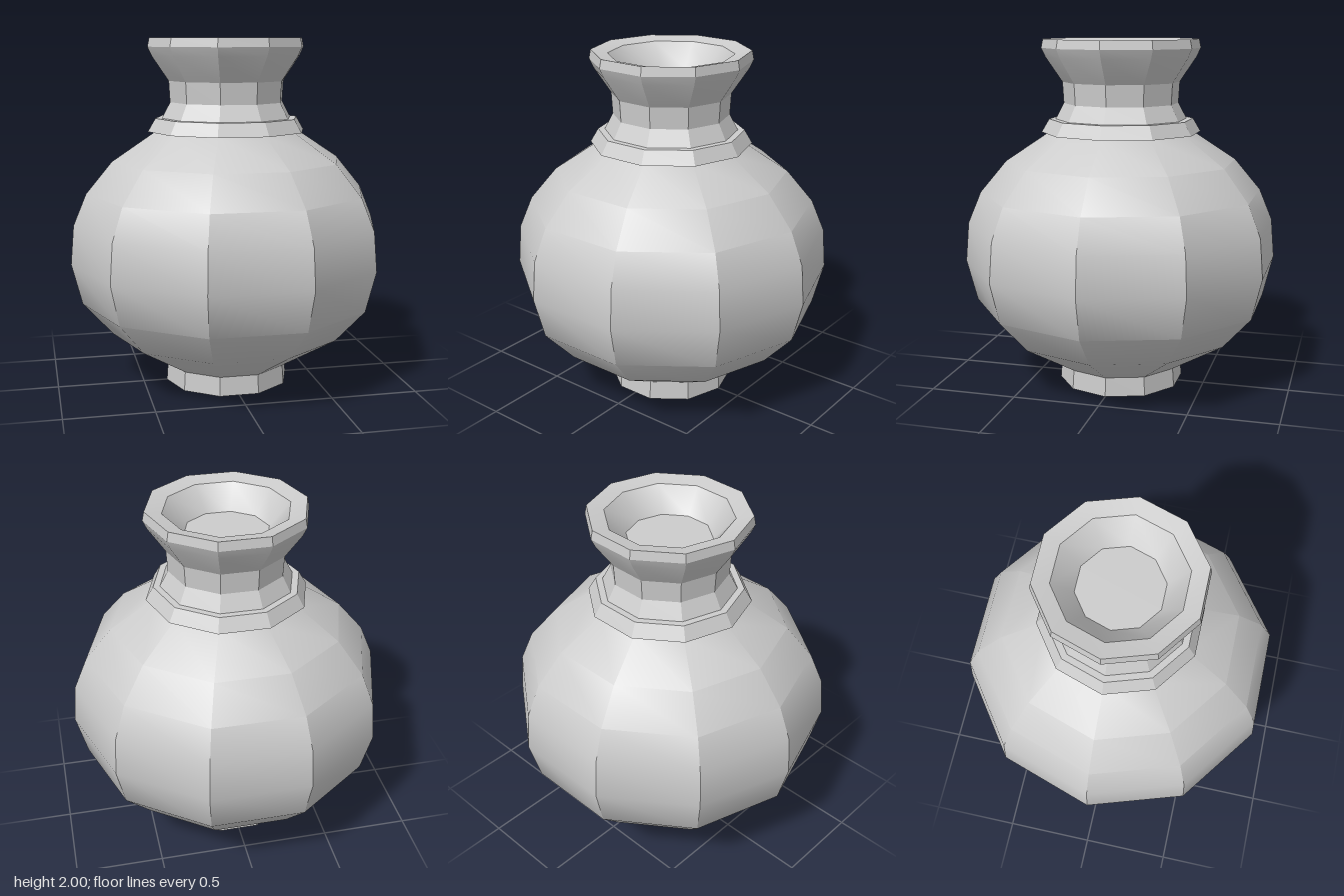
import * as THREE from 'three';
import { toCreasedNormals } from 'three/addons/utils/BufferGeometryUtils.js';

const SIDES = 10;
const CREASE = 0.5;

export function createModel() {
  const vase = new THREE.Group();
  vase.name = 'vase';
  const clay = new THREE.MeshStandardMaterial({ color: 0xcccccc });

  // Ten-sided turned part from [radius, height] points, with a corner on +x
  function turned(name, profile) {
    const points = profile.map(([r, y]) => new THREE.Vector2(r, y));
    const lathe = new THREE.LatheGeometry(points, SIDES, Math.PI / 2);
    const mesh = new THREE.Mesh(toCreasedNormals(lathe, CREASE), clay);
    mesh.name = name;
    vase.add(mesh);
  }

  // Foot with a closed underside
  turned('foot', [[0, 0], [0.363, 0], [0.355, 0.11]]);

  // Rounded belly
  turned('belly', [
    [0.355, 0.11], [0.675, 0.3], [0.847, 0.49], [0.907, 0.725],
    [0.888, 0.95], [0.813, 1.13], [0.663, 1.31], [0.415, 1.475],
  ]);

  // Sloped collar overhanging the shoulder
  turned('collar', [[0.4, 1.475], [0.457, 1.475], [0.413, 1.55], [0.36, 1.55]]);

  // Waisted neck flaring out to the lip
  turned('neck', [
    [0.375, 1.55], [0.328, 1.64], [0.335, 1.76],
    [0.43, 1.9], [0.453, 1.95], [0.443, 2],
  ]);

  // Shallow mouth with a flat floor
  turned('mouth', [[0.443, 2], [0.35, 1.98], [0.235, 1.85], [0, 1.85]]);

  return vase;
}
